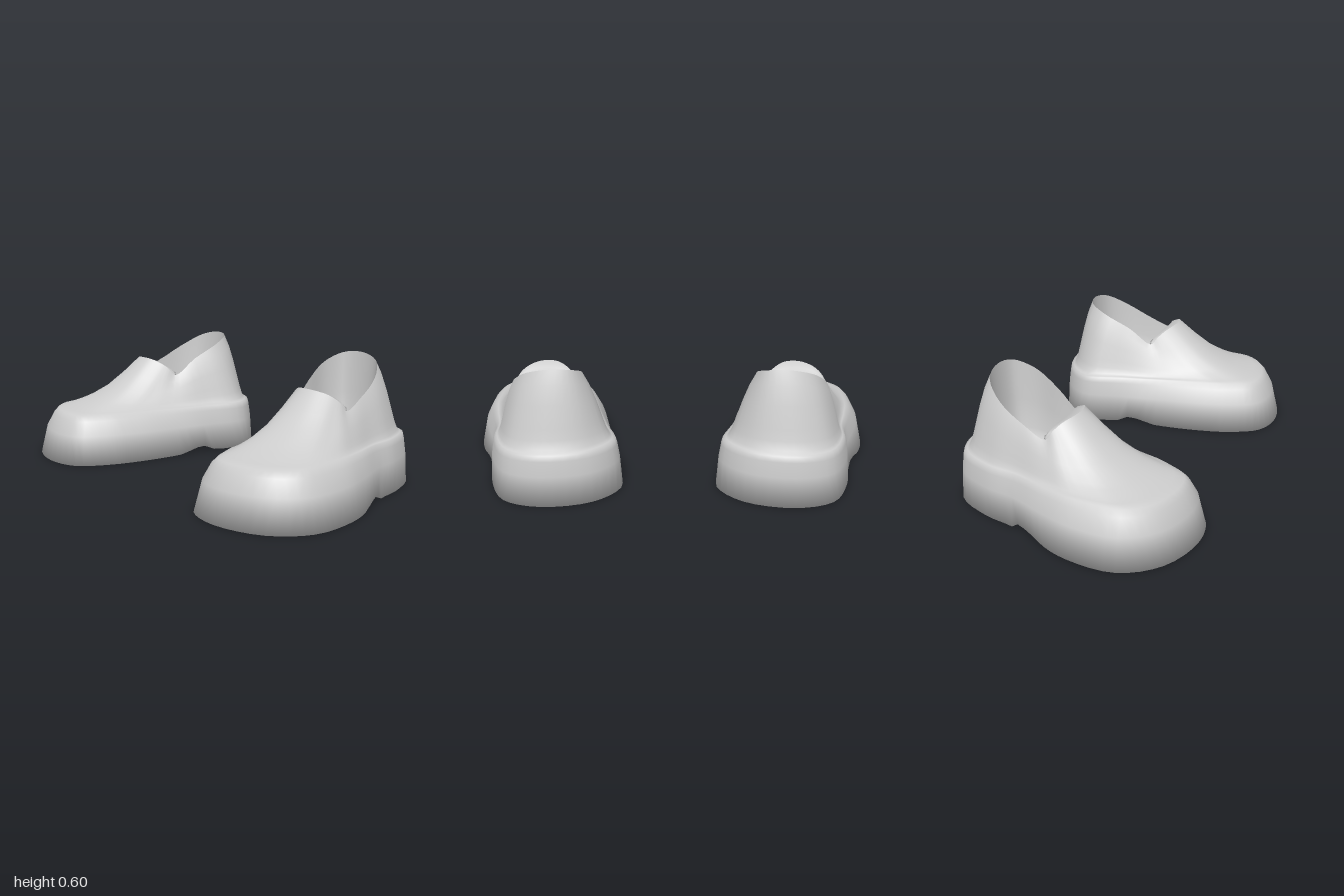
import * as THREE from 'three';
import { mergeVertices } from 'three/addons/utils/BufferGeometryUtils.js';

const N = 64; // points around each ring
const { clamp, lerp, smoothstep } = THREE.MathUtils;
const V = (x, y, z) => new THREE.Vector3(x, y, z);

// Ground outline [x, z] of the left shoe, from the heel round the outer side
const OUTLINE = [
  [0.57, -0.6], [0.745, -0.54], [0.835, -0.36], [0.865, -0.21],
  [0.93, -0.05], [0.985, 0.12], [0.985, 0.34], [0.865, 0.5],
  [0.64, 0.575], [0.465, 0.535], [0.37, 0.39], [0.315, 0.2],
  [0.285, 0], [0.255, -0.2], [0.222, -0.4], [0.34, -0.545],
];

// Rim of the opening [x, y, z], in the same order
const RIM = [
  [0.52, 0.595, -0.45], [0.63, 0.57, -0.425], [0.705, 0.505, -0.33], [0.735, 0.435, -0.2],
  [0.75, 0.395, -0.09], [0.735, 0.435, -0.06], [0.70, 0.465, -0.03], [0.65, 0.481, 0],
  [0.6, 0.485, 0.01], [0.55, 0.481, 0], [0.50, 0.46, -0.03], [0.465, 0.43, -0.06],
  [0.445, 0.395, -0.09], [0.42, 0.475, -0.2], [0.395, 0.545, -0.33], [0.43, 0.585, -0.425],
];

// Upper profile: [share of the way in, rise at the heel, rise at the toe]
const PROFILE = [
  [0.1, 0.015, 0.03], [0.2, 0.05, 0.08], [0.3, 0.16, 0.14], [0.4, 0.3, 0.21],
  [0.6, 0.59, 0.4], [0.8, 0.83, 0.68], [1, 1, 1],
];

function sampleLoop(points) {
  const curve = new THREE.CatmullRomCurve3(points, true);
  return Array.from({ length: N }, (_, i) => curve.getPoint(i / N));
}

// Nearest point on the shoe's long centre line
function spine(p, y, back = -0.32, front = 0.3) {
  const z = clamp(p.z, back, front);
  return V(lerp(0.53, 0.65, (z + 0.32) / 0.62), y, z);
}

// Ring moved towards the centre line by a distance
function inset(p, distance, y) {
  const c = spine(p, p.y);
  const d = c.clone().sub(p).normalize().multiplyScalar(distance);
  return p.clone().add(d).setY(y);
}

// Lift of the sole under the arch, just in front of the heel
const arch = (z) => 0.03 * smoothstep(-z, -0.02, 0.13) * (1 - smoothstep(-z, 0.17, 0.21));

// Skin a stack of rings; side -1 builds the mirrored shoe
function loft(rings, side) {
  const positions = [];
  const index = [];
  rings.forEach((ring) => ring.forEach((p) => positions.push(p.x * side, p.y, p.z)));
  for (let j = 0; j < rings.length - 1; j++) {
    for (let i = 0; i < N; i++) {
      const k = (i + 1) % N;
      const a = j * N + i, b = a + N, c = j * N + k, d = c + N;
      if (side > 0) index.push(a, b, c, c, b, d);
      else index.push(a, c, b, c, d, b);
    }
  }
  let g = new THREE.BufferGeometry();
  g.setAttribute('position', new THREE.Float32BufferAttribute(positions, 3));
  g.setIndex(index);
  g = mergeVertices(g, 1e-4);
  g.computeVertexNormals();
  return g;
}

function buildShoe(side, material) {
  const base = sampleLoop(OUTLINE.map(([x, z]) => V(x, 0, z)));
  const rim = sampleLoop(RIM.map((p) => V(...p)));
  const slope = (p) => lerp(0.025, 0.1, smoothstep(p.z, -0.45, 0.3));

  // Underside, then the sole wall up to the shoulder
  const rings = [
    base.map((p) => spine(p, 0.008)),
    base.map((p) => p.clone().setY(arch(p.z))),
  ];
  for (const [y, f] of [[0.14, 0.36], [0.21, 0.75], [0.235, 1]]) {
    rings.push(base.map((p) => inset(p, slope(p) * f, y)));
  }

  // Upper sweeps from the shoulder to the opening
  const shoulder = rings[rings.length - 1];
  for (const [t, heel, toe] of PROFILE) {
    rings.push(shoulder.map((p, i) => {
      const q = p.clone().lerp(rim[i], t);
      q.y = lerp(p.y, rim[i].y, lerp(heel, toe, smoothstep(p.z, -0.1, 0.25)));
      return q;
    }));
  }

  // Lining: rounded tongue lip at the front, then walls and a floor
  const lip = (s) => rim.map((p) => {
    const q = p.clone();
    if (p.z > -0.09) {
      q.z = lerp(p.z, -0.095, s);
      q.y = lerp(p.y, Math.min(p.y, 0.41), s * s);
    }
    return q;
  });
  const edge = lip(1);
  const inner = (f, drop) => edge.map((p) => (
    p.clone().lerp(spine(p, p.y, -0.32, -0.16), f).setY(lerp(p.y, 0.21, drop))
  ));
  const lining = [rim, lip(0.5), edge, inner(0.05, 0.5), inner(0.15, 0.9), inner(0.3, 1), inner(1, 1)];

  const shoe = new THREE.Group();
  shoe.name = side > 0 ? 'leftShoe' : 'rightShoe';
  const add = (name, geometry) => {
    const mesh = new THREE.Mesh(geometry, material);
    mesh.name = name;
    shoe.add(mesh);
  };
  add('soleAndUpper', loft(rings, side));
  add('liningAndTongue', loft(lining, side));
  return shoe;
}

export function createModel() {
  const grey = new THREE.MeshStandardMaterial({ color: 0xcccccc, side: THREE.DoubleSide });
  grey.name = 'lightGrey';
  const model = new THREE.Group();
  model.name = 'pairOfShoes';
  const left = buildShoe(1, grey);
  const right = buildShoe(-1, grey);
  right.position.z = 0.015;
  model.add(left, right);
  return model;
}
